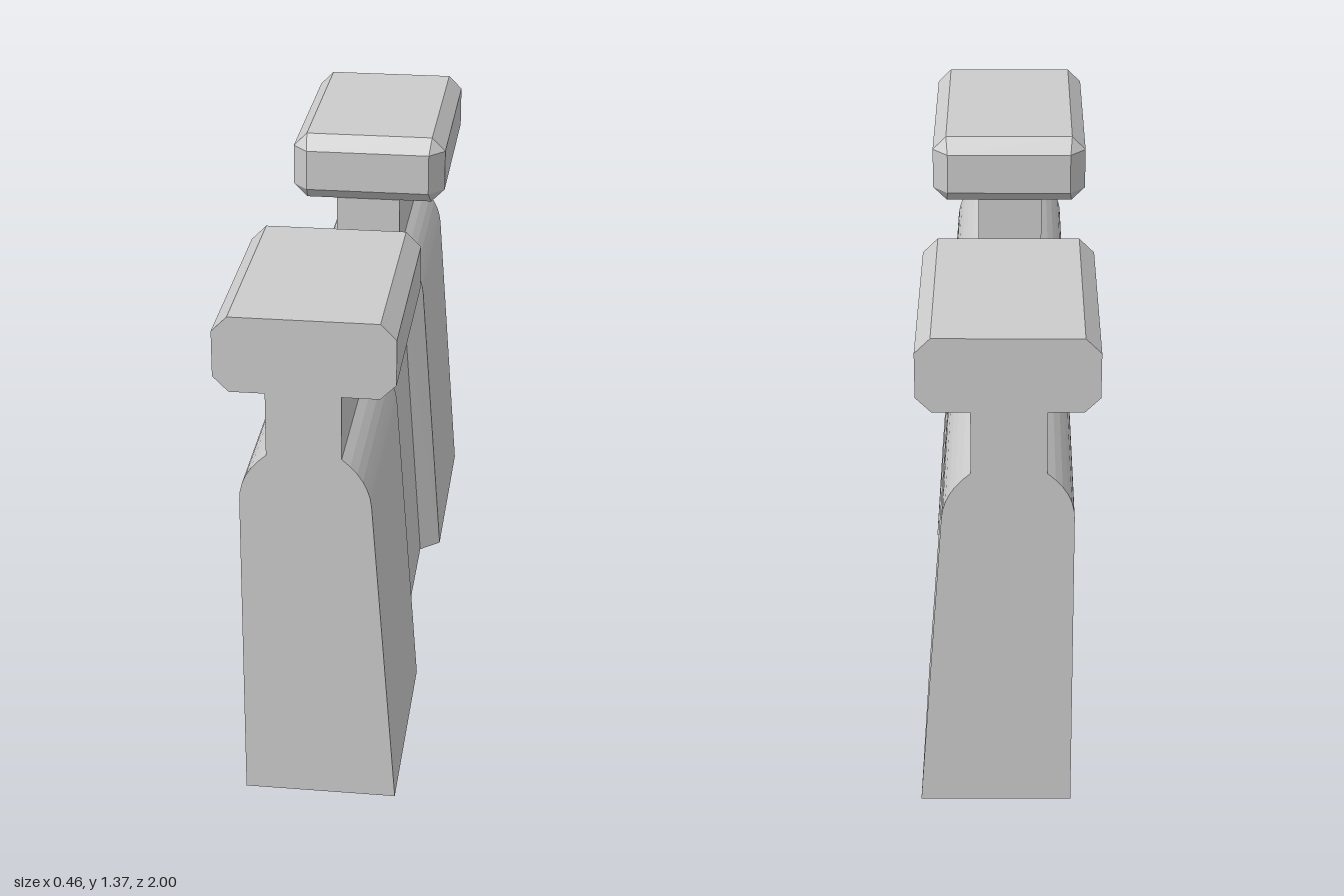
import * as THREE from 'three';

const material = new THREE.MeshStandardMaterial({ color: 0xcccccc, flatShading: true });
const INNER = 0.335, BEVEL = 0.385, END = 1;

// Joins matching counter-clockwise outlines [[points, z], ...] and closes both ends
function loft(name, sections) {
  const rings = [...sections].sort((a, b) => a[1] - b[1])
    .map(([pts, z]) => pts.map(p => new THREE.Vector3(p.x, p.y, z)));
  const positions = [];
  const tri = (a, b, c) => {
    const area = b.clone().sub(a).cross(c.clone().sub(a)).length();
    if (area > 1e-8) for (const v of [a, b, c]) positions.push(v.x, v.y, v.z);
  };
  for (let k = 0; k < rings.length - 1; k++) {
    const a = rings[k], b = rings[k + 1], n = a.length;
    for (let i = 0; i < n; i++) {
      const j = (i + 1) % n;
      tri(a[i], a[j], b[j]);
      tri(a[i], b[j], b[i]);
    }
  }
  const close = (ring, flip) => {
    // Drop repeated corners before filling the outline
    const clean = ring.filter((p, i) => p.distanceTo(ring[(i + 1) % ring.length]) > 1e-6);
    const flat = clean.map(p => new THREE.Vector2(p.x, p.y));
    for (const [a, b, c] of THREE.ShapeUtils.triangulateShape(flat, [])) {
      if (flip) tri(clean[a], clean[c], clean[b]);
      else tri(clean[a], clean[b], clean[c]);
    }
  };
  close(rings[0], true);
  close(rings[rings.length - 1], false);
  const geometry = new THREE.BufferGeometry();
  geometry.setAttribute('position', new THREE.Float32BufferAttribute(positions, 3));
  geometry.computeVertexNormals();
  const mesh = new THREE.Mesh(geometry, material);
  mesh.name = name;
  return mesh;
}

const points = list => list.map(([x, y]) => new THREE.Vector2(x, y));

// Block outline: upright left side, battered right side, rounded shoulders
function blockOutline(left, foot, right, topLeft, topRight, top) {
  const spring = 0.87, bend = spring + (top - spring) * 0.58;
  const arc = (...p) => new THREE.QuadraticBezierCurve(...points(p)).getPoints(6);
  return [
    ...points([[left, 0], [foot, 0]]),
    ...arc([right, spring], [right - 0.006, bend], [topRight, top]),
    ...arc([topLeft, top], [left, bend], [left, spring]),
  ];
}

export function createModel() {
  const model = new THREE.Group();
  model.name = 'battlement';

  const outer = blockOutline(-0.17, 0.23, 0.165, -0.1, 0.09, 1.0);
  const inset = blockOutline(-0.115, 0.172, 0.11, -0.077, 0.067, 0.95);

  // Cap outline with bevelled corners, and the rectangle it shrinks to
  const capOuter = points([
    [-0.19, 1.17], [0.185, 1.17], [0.225, 1.21], [0.225, 1.33],
    [0.185, 1.37], [-0.19, 1.37], [-0.23, 1.33], [-0.23, 1.21]]);
  const capInset = points([
    [-0.185, 1.21], [0.18, 1.21], [0.18, 1.21], [0.18, 1.33],
    [0.18, 1.33], [-0.185, 1.33], [-0.185, 1.33], [-0.185, 1.21]]);
  const neck = points([[-0.1, 1.0], [0.09, 1.0], [0.09, 1.17], [-0.1, 1.17]]);

  // One raised merlon at each end
  for (const [name, s] of [['frontMerlon', 1], ['backMerlon', -1]]) {
    const merlon = new THREE.Group();
    merlon.name = name;
    merlon.add(
      loft('merlonBody', [[inset, s * INNER], [outer, s * BEVEL], [outer, s * END]]),
      loft('merlonNeck', [[neck, s * BEVEL], [neck, s * END]]),
      loft('merlonCap', [[capInset, s * INNER], [capOuter, s * BEVEL], [capOuter, s * END]]));
    model.add(merlon);
  }

  // Low wall between the merlons
  const wall = points([[-0.115, 0], [0.172, 0], [0.11, 0.87], [-0.115, 0.87]]);
  model.add(loft('lowWall', [[wall, -INNER], [wall, INNER]]));
  return model;
}
